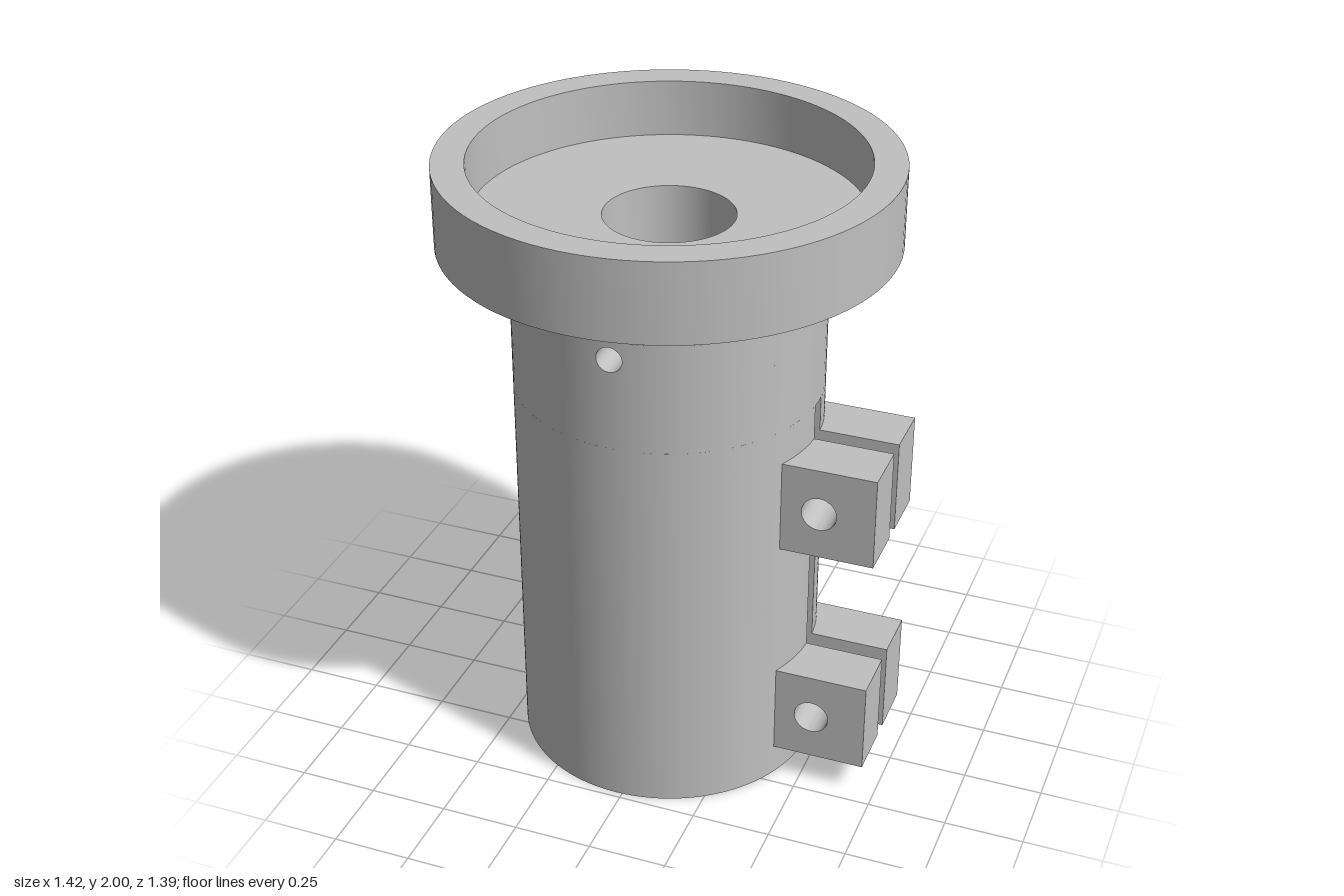
import * as THREE from 'three';
import { toCreasedNormals } from 'three/addons/utils/BufferGeometryUtils.js';

const SEG = 96;
const OUTER = 0.48, BORE = 0.385, SOCKET = 0.2;   // radii
const SLIT = 0.028;                               // half width of the slit
const SLIT_TOP = 1.28, FLANGE_BOTTOM = 1.75, RECESS_FLOOR = 1.82, SOCKET_FLOOR = 1.36;
const PIN_Y = 1.572, PIN_R = 0.04, BAND = 0.06;   // cross pin hole and the band around it

export function createModel() {
  const model = new THREE.Group();
  const body = new THREE.Group();
  body.name = 'clampAdapter';
  body.position.x = -0.02;
  model.add(body);

  const grey = new THREE.MeshStandardMaterial({ color: 0xc0c0c0, side: THREE.DoubleSide });
  grey.name = 'grey';

  const add = (name, geometry, y = 0) => {
    const mesh = new THREE.Mesh(geometry, grey);
    mesh.name = name;
    mesh.position.y = y;
    body.add(mesh);
    return mesh;
  };

  // Grid surface from a rule giving position and normal
  const surface = (rule, nu, nv) => {
    const pos = [], nor = [], index = [];
    for (let j = 0; j <= nv; j++) for (let i = 0; i <= nu; i++) {
      const { p, n } = rule(i / nu, j / nv);
      pos.push(...p);
      nor.push(...n);
      if (i < nu && j < nv) {
        const a = j * (nu + 1) + i, b = a + nu + 1;
        index.push(a, b, a + 1, b, b + 1, a + 1);
      }
    }
    const g = new THREE.BufferGeometry();
    g.setAttribute('position', new THREE.Float32BufferAttribute(pos, 3));
    g.setAttribute('normal', new THREE.Float32BufferAttribute(nor, 3));
    g.setIndex(index);
    return g;
  };

  // Open cylinder wall pierced front and back by the pin hole
  const piercedWall = (name, r, y0, y1) => {
    const tube = (a, b, start, length) => {
      const g = new THREE.CylinderGeometry(r, r, b - a, SEG, 1, true, start, length);
      return g.translate(0, (a + b) / 2, 0);
    };
    const lo = PIN_Y - BAND, hi = PIN_Y + BAND;
    const half = Math.asin(BAND / r);
    add(name + 'Lower', tube(y0, lo, 0, Math.PI * 2));
    add(name + 'Upper', tube(hi, y1, 0, Math.PI * 2));
    for (const turn of [0, Math.PI]) {
      add(name + 'Band', tube(lo, hi, turn + half, Math.PI - 2 * half));
      // patch running from the round hole out to a square edge
      add(name + 'HolePatch', surface((u, v) => {
        const t = -u * Math.PI * 2, c = Math.cos(t), s = Math.sin(t);
        const k = 1 / Math.max(Math.abs(c), Math.abs(s));
        const angle = THREE.MathUtils.lerp(Math.asin(PIN_R * c / r), half * c * k, v) + turn;
        const y = PIN_Y + THREE.MathUtils.lerp(PIN_R * s, BAND * s * k, v);
        const n = [Math.sin(angle), 0, Math.cos(angle)];
        return { p: [r * n[0], y, r * n[2]], n };
      }, 48, 4)).geometry.index.array.reverse();
    }
  };
  piercedWall('outerWall', OUTER, SLIT_TOP, FLANGE_BOTTOM);
  piercedWall('socketWall', SOCKET, SOCKET_FLOOR, RECESS_FLOOR);

  // Walls of the pin hole between the outer wall and the socket
  for (const side of [1, -1]) {
    add('pinHole', surface((u, v) => {
      const t = u * Math.PI * 2 * side, x = PIN_R * Math.cos(t), h = PIN_R * Math.sin(t);
      const z = THREE.MathUtils.lerp(Math.sqrt(SOCKET ** 2 - x * x), Math.sqrt(OUTER ** 2 - x * x), v);
      return { p: [x, PIN_Y + h, z * side], n: [-Math.cos(t), -Math.sin(t), 0] };
    }, 48, 1));
  }

  // Flange with its shallow round recess
  const profile = [[OUTER, FLANGE_BOTTOM], [0.695, FLANGE_BOTTOM], [0.695, 2], [0.595, 2],
    [0.595, RECESS_FLOOR], [SOCKET, RECESS_FLOOR]].map(([x, y]) => new THREE.Vector2(x, y));
  add('flange', toCreasedNormals(new THREE.LatheGeometry(profile, SEG), 0.5));

  // Floor of the blind socket
  add('socketFloor', new THREE.CircleGeometry(SOCKET, SEG).rotateX(-Math.PI / 2), SOCKET_FLOOR);

  // Slit sleeve: a C-shaped section drawn upwards
  const a = Math.asin(SLIT / OUTER), b = Math.asin(SLIT / BORE);
  const section = new THREE.Shape();
  section.absarc(0, 0, OUTER, a, Math.PI * 2 - a, false);
  section.absarc(0, 0, BORE, Math.PI * 2 - b, b, true);
  section.closePath();
  const sleeve = new THREE.ExtrudeGeometry(section, { depth: SLIT_TOP, bevelEnabled: false, curveSegments: SEG });
  add('slitSleeve', toCreasedNormals(sleeve.rotateX(-Math.PI / 2), 0.5));

  // Closed top of the bore and of the slit
  add('boreCeiling', new THREE.CylinderGeometry(BORE, BORE, 0.01, SEG), SLIT_TOP - 0.005);
  add('slitEnd', new THREE.CircleGeometry(OUTER, SEG).rotateX(Math.PI / 2), SLIT_TOP);

  // Two pairs of drilled clamp lugs
  const lugShape = new THREE.Shape();
  lugShape.moveTo(0.43, -0.151);
  lugShape.lineTo(0.73, -0.151);
  lugShape.lineTo(0.73, 0.151);
  lugShape.lineTo(0.43, 0.151);
  lugShape.closePath();
  const bolt = new THREE.Path();
  bolt.absarc(0.555, 0, 0.055, 0, Math.PI * 2, true);
  lugShape.holes.push(bolt);
  const lug = toCreasedNormals(new THREE.ExtrudeGeometry(lugShape,
    { depth: 0.203 - SLIT, bevelEnabled: false, curveSegments: 40 }), 0.5);
  for (const y of [0.254, 1.014]) {
    add('frontLug', lug, y).position.z = SLIT;
    add('backLug', lug, y).position.z = -0.203;
  }

  return model;
}
